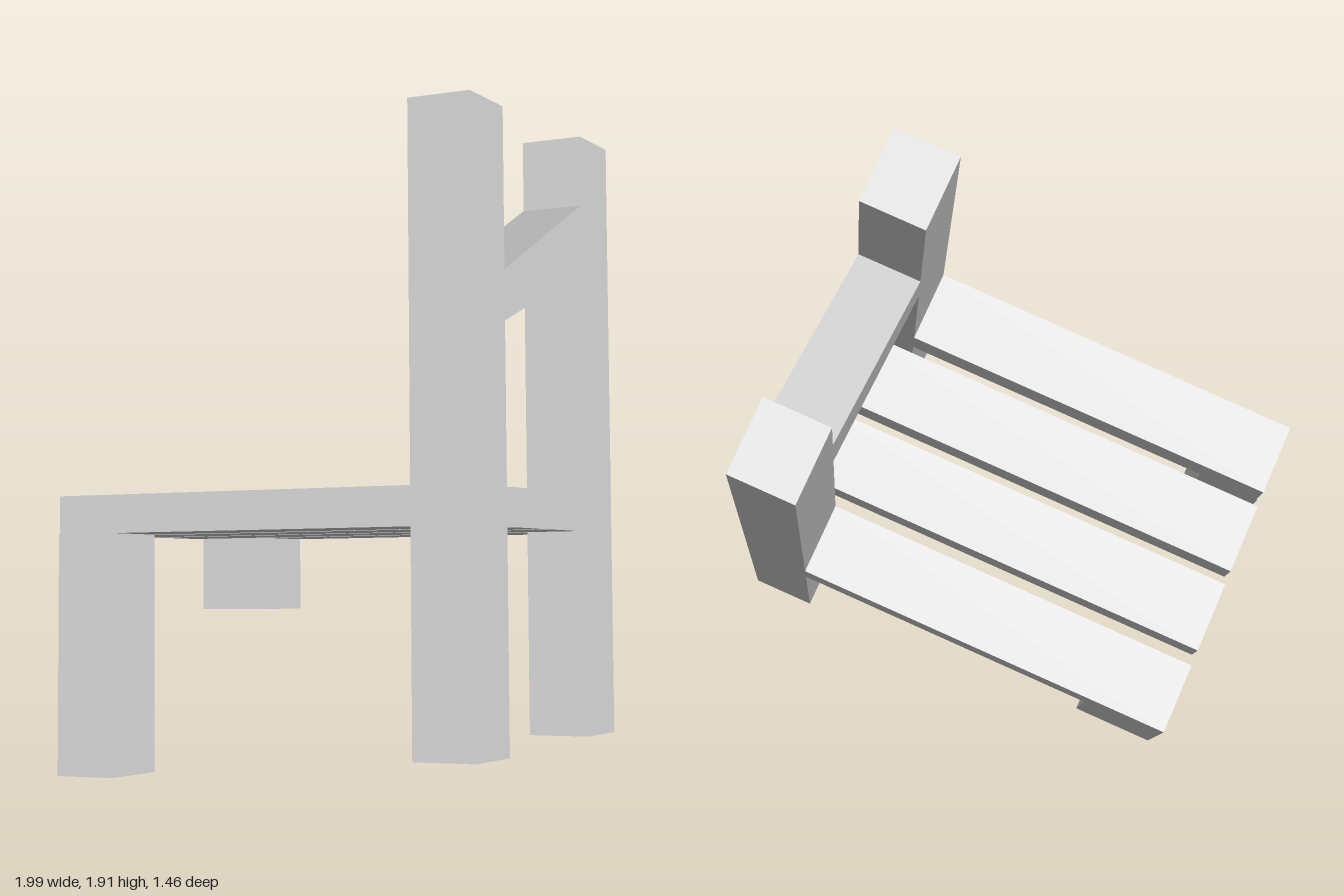
import * as THREE from 'three';

// A worn slatted chair lying tilted, with one front leg snapped short.
export function createModel() {
  const model = new THREE.Group();
  model.name = 'chair';
  const material = new THREE.MeshStandardMaterial({ color: 0xcccccc, flatShading: true });

  // Chair's own frame: x across the seat, y up the posts, z toward the backrest
  const chair = new THREE.Group();
  chair.name = 'tiltedChair';
  const across = new THREE.Vector3(0.821, -0.569, -0.043).normalize();
  const back = new THREE.Vector3(0.254, 0.298, 0.92);
  const up = new THREE.Vector3().crossVectors(back, across).normalize();
  back.crossVectors(across, up).normalize();
  chair.quaternion.setFromRotationMatrix(new THREE.Matrix4().makeBasis(across, up, back));
  model.add(chair);

  const add = (name, geometry) => {
    const mesh = new THREE.Mesh(geometry, material);
    mesh.name = name;
    chair.add(mesh);
    return mesh;
  };
  // Box given by its limits on each axis
  const beam = (name, [x0, x1], [y0, y1], [z0, z1]) =>
    add(name, new THREE.BoxGeometry(x1 - x0, y1 - y0, z1 - z0))
      .position.set((x0 + x1) / 2, (y0 + y1) / 2, (z0 + z1) / 2);

  const sideA = [-0.911, -0.707];
  const sideB = [-0.175, 0.025];
  const postDepth = [0.522, 0.697];
  const seat = [0.447, 0.551];

  // Back posts
  beam('backPostA', sideA, [-0.14, 1.54], postDepth);
  beam('backPostB', sideB, [-0.12, 1.562], postDepth);

  // Front legs, the second one broken off
  beam('frontLegA', sideA, [-0.21, seat[0]], [-0.558, -0.38]);
  beam('frontLegB', sideB, [0.234, seat[0]], [-0.555, -0.33]);

  // Seat slats: outer ones butt against the posts, inner ones run between them
  const slats = [sideA, [-0.664, -0.462], [-0.422, -0.22], sideB];
  slats.forEach((x, i) => {
    const inner = i === 1 || i === 2;
    beam('seatSlat' + (i + 1), x, seat, [-0.555, inner ? postDepth[1] : postDepth[0]]);
  });

  // Slanted back rail, wider at one end
  const rail = new THREE.Shape([
    new THREE.Vector2(sideA[1], 0.979),
    new THREE.Vector2(sideB[0], 1.177),
    new THREE.Vector2(sideB[0], 1.365),
    new THREE.Vector2(sideA[1], 1.113),
  ]);
  add('backRail', new THREE.ExtrudeGeometry(rail, {
    depth: postDepth[1] - postDepth[0], bevelEnabled: false,
  })).position.z = postDepth[0];

  return model;
}
